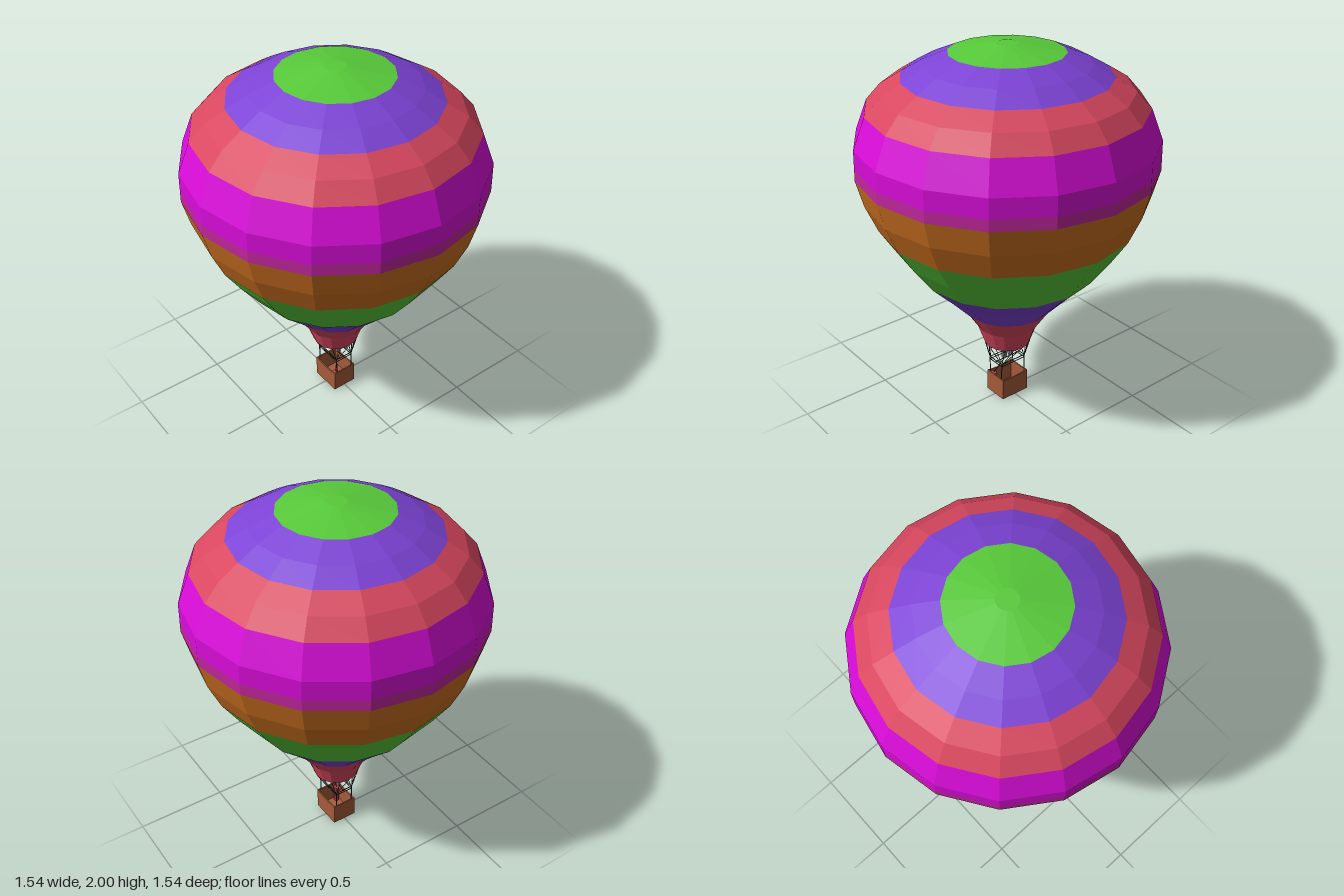
import * as THREE from 'three';

const mat = (name, color, extra = {}) => {
  const m = new THREE.MeshStandardMaterial({ color, flatShading: true, ...extra });
  m.name = name;
  return m;
};

export function createModel() {
  const model = new THREE.Group();
  model.name = 'hotAirBalloon';
  const cloth = { side: THREE.DoubleSide };
  const red = mat('red', 0xd8475f, cloth);
  const purple = mat('purple', 0x7d43d6, cloth);
  const green = mat('green', 0x58cb3a, cloth);
  const orange = mat('orange', 0xcb7020, cloth);
  const plum = mat('plum', 0xc0269c, cloth);
  const magenta = mat('magenta', 0xd80cd8, cloth);
  const wicker = mat('wicker', 0xa65c3b);
  const rope = mat('rope', 0x3a3a3c);
  const metal = mat('metal', 0x9a9a9e);

  const add = (parent, name, geometry, material, x = 0, y = 0, z = 0) => {
    const mesh = new THREE.Mesh(geometry, material);
    mesh.name = name;
    mesh.position.set(x, y, z);
    parent.add(mesh);
    return mesh;
  };
  const group = (name) => {
    const g = new THREE.Group();
    g.name = name;
    model.add(g);
    return g;
  };
  // Thin round bar between two points
  const bar = (parent, name, a, b, radius, material) => {
    const dir = b.clone().sub(a);
    const mesh = add(parent, name, new THREE.CylinderGeometry(radius, radius, dir.length(), 6), material);
    mesh.position.copy(a).add(b).multiplyScalar(0.5);
    mesh.quaternion.setFromUnitVectors(new THREE.Vector3(0, 1, 0), dir.normalize());
  };
  const v = (x, y, z) => new THREE.Vector3(x, y, z);

  // Envelope: one 16-sided lathe per coloured band, [radius, height] from the mouth up
  const SIDES = 16;
  const bands = [
    ['mouthBand', red, [[0.125, 0.33], [0.165, 0.445], [0.24, 0.56]]],
    ['lowerPurpleBand', purple, [[0.24, 0.56], [0.355, 0.685], [0.478, 0.81]]],
    ['lowerGreenBand', green, [[0.478, 0.81], [0.58, 0.95], [0.67, 1.09]]],
    ['orangeBand', orange, [[0.67, 1.09], [0.733, 1.235], [0.77, 1.375]]],
    ['plumBand', plum, [[0.77, 1.375], [0.769, 1.435]]],
    ['magentaBand', magenta, [[0.769, 1.435], [0.767, 1.535], [0.705, 1.695]]],
    ['upperRedBand', red, [[0.705, 1.695], [0.63, 1.78], [0.525, 1.845]]],
    ['upperPurpleBand', purple, [[0.525, 1.845], [0.42, 1.905], [0.29, 1.96]]],
    ['crown', green, [[0.29, 1.96], [0.055, 2], [0, 2]]],
  ];
  const envelope = group('envelope');
  for (const [name, material, points] of bands) {
    const profile = points.map(([r, y]) => new THREE.Vector2(r, y));
    add(envelope, name, new THREE.LatheGeometry(profile, SIDES), material);
  }

  // Basket: open box whose side rims sag slightly
  const basket = group('basket');
  const W = 0.07, D = 0.087, H = 0.125, T = 0.007;
  add(basket, 'floor', new THREE.BoxGeometry(2 * W, T, 2 * D), wicker, 0, T / 2, 0);
  const wall = (half, sag) => {
    const s = new THREE.Shape();
    s.moveTo(-half, 0);
    s.lineTo(half, 0);
    s.lineTo(half, H);
    s.quadraticCurveTo(0, H - 2 * sag, -half, H);
    s.closePath();
    return new THREE.ExtrudeGeometry(s, { depth: T, bevelEnabled: false, curveSegments: 8 });
  };
  add(basket, 'frontWall', wall(W, 0.001), wicker, 0, 0, D - T);
  add(basket, 'backWall', wall(W, 0.001), wicker, 0, 0, -D);
  add(basket, 'leftWall', wall(D, 0.008), wicker, W - T, 0, 0).rotation.y = Math.PI / 2;
  add(basket, 'rightWall', wall(D, 0.008), wicker, -W, 0, 0).rotation.y = Math.PI / 2;
  add(basket, 'gasTank', new THREE.CylinderGeometry(0.015, 0.015, 0.105, 10), red, -0.044, 0.058, 0.06);

  // Burner frame: corner uprights and two rails all round
  const frame = group('burnerFrame');
  const FX = 0.052, FZ = 0.08, FY = 0.215;
  for (const sx of [-1, 1]) {
    for (const sz of [-1, 1]) {
      bar(frame, 'upright', v(sx * 0.05, 0.115, sz * 0.082), v(sx * FX, FY, sz * FZ), 0.003, rope);
    }
  }
  for (const y of [0.205, 0.22]) {
    for (const s of [-1, 1]) {
      bar(frame, 'crossRail', v(-FX, y, s * FZ), v(FX, y, s * FZ), 0.0025, rope);
      bar(frame, 'sideRail', v(s * FX, y, -FZ), v(s * FX, y, FZ), 0.0025, rope);
    }
  }
  bar(frame, 'burnerBeam', v(0, 0.213, -FZ), v(0, 0.213, FZ), 0.003, rope);
  bar(frame, 'gasHose', v(0, 0.213, 0.02), v(-0.044, 0.11, 0.06), 0.0025, rope);

  // Twin burners
  const burners = group('burners');
  for (const z of [-0.022, 0.022]) {
    add(burners, 'burnerCan', new THREE.CylinderGeometry(0.016, 0.014, 0.03, 10), metal, 0, 0.235, z);
    add(burners, 'burnerNozzle', new THREE.CylinderGeometry(0.009, 0.009, 0.012, 8), rope, 0, 0.252, z);
  }

  // Cables: each frame corner fans out to five corners of the mouth
  const cables = group('cables');
  for (let corner = 0; corner < 4; corner++) {
    for (let i = 0; i <= 4; i++) {
      const a = ((corner * 4 + i) / SIDES) * Math.PI * 2;
      const mid = ((corner + 0.5) * Math.PI) / 2;
      const from = v(Math.sign(Math.sin(mid)) * FX, FY, Math.sign(Math.cos(mid)) * FZ);
      bar(cables, 'cable', from, v(Math.sin(a) * 0.125, 0.332, Math.cos(a) * 0.125), 0.002, rope);
    }
  }
  return model;
}
